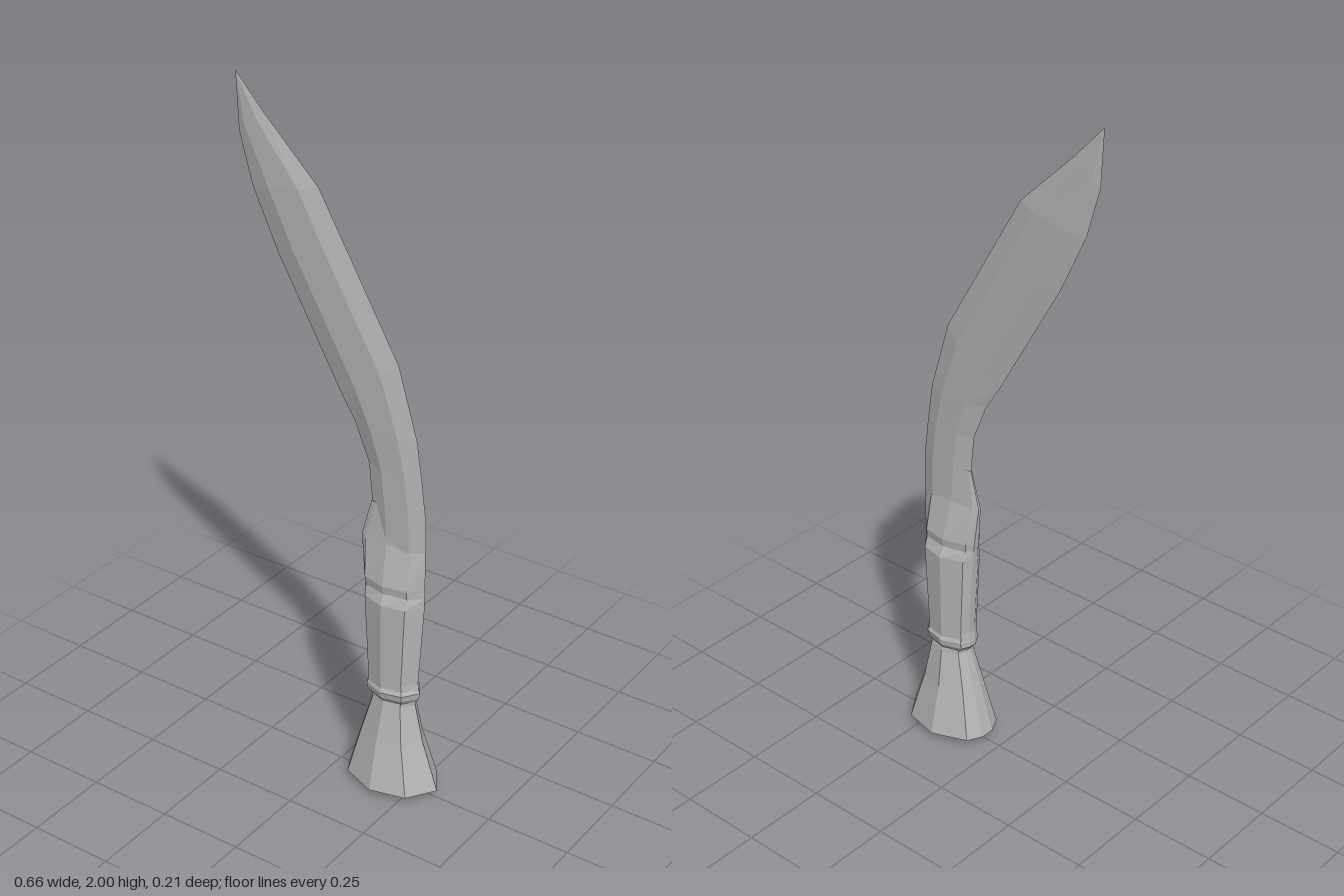
import * as THREE from 'three';

const steel = new THREE.MeshStandardMaterial({ color: 0xb4b4b4, flatShading: true });
steel.name = 'grey steel';

// Section outlines: u runs from left edge (0) to right edge (1), w scales the half thickness
const gripSection = [[1, 0], [0.81, 0.76], [0.44, 1], [0.08, 0.62], [0, 0.2], [0, -0.2], [0.08, -0.62], [0.44, -1], [0.81, -0.76]];
const bladeSection = [[1, 0], [0.74, 1], [0.3, 1], [0, 0], [0.3, -1], [0.74, -1]];

// Loft rings [leftX, leftY, rightX, rightY, halfThickness] upward, closed at both ends
function loft(name, section, rings) {
  const n = section.length;
  const pos = [];
  for (const [lx, ly, rx, ry, t] of rings) {
    for (const [u, w] of section) pos.push(lx + (rx - lx) * u, ly + (ry - ly) * u, w * t);
  }
  const index = [];
  for (let i = 0; i < rings.length - 1; i++) {
    for (let j = 0; j < n; j++) {
      const a = i * n + j, b = i * n + (j + 1) % n;
      index.push(a, a + n, b, b, a + n, b + n);
    }
  }
  const top = (rings.length - 1) * n;
  for (let j = 1; j < n - 1; j++) {
    index.push(0, j, j + 1);
    index.push(top, top + j + 1, top + j);
  }
  const indexed = new THREE.BufferGeometry();
  indexed.setAttribute('position', new THREE.Float32BufferAttribute(pos, 3));
  indexed.setIndex(index);
  const geometry = indexed.toNonIndexed();
  geometry.computeVertexNormals();
  const mesh = new THREE.Mesh(geometry, steel);
  mesh.name = name;
  return mesh;
}

// Level ring for the handle parts
const level = (y, left, right, t) => [left, y, right, y, t];

export function createModel() {
  const group = new THREE.Group();
  group.name = 'curvedKnife';

  // Forward-curving blade, thin at both edges
  group.add(loft('blade', bladeSection, [
    [0.12, 0.62, 0.26, 0.62, 0.017],
    [0.11, 0.8, 0.272, 0.78, 0.017],
    [0.1, 0.9, 0.272, 0.88, 0.017],
    [0.09, 1.0, 0.257, 1.0, 0.017],
    [0.045, 1.11, 0.24, 1.11, 0.018],
    [0.0, 1.18, 0.18, 1.31, 0.018],
    [-0.2, 1.53, 0.0, 1.62, 0.018],
    [-0.28, 1.7, -0.07, 1.74, 0.017],
    [-0.32, 1.84, -0.24, 1.905, 0.008],
    [-0.328, 2.0, -0.328, 2.0, 0],
  ]));

  // Grip with a shallow groove and a shoulder closing onto the blade
  group.add(loft('grip', gripSection, [
    level(0.33, 0.1, 0.262, 0.054),
    level(0.36, 0.103, 0.258, 0.055),
    level(0.61, 0.088, 0.274, 0.058),
    level(0.64, 0.086, 0.274, 0.044),
    level(0.665, 0.083, 0.274, 0.048),
    level(0.78, 0.071, 0.274, 0.019),
    level(0.89, 0.1, 0.272, 0.008),
  ]));

  // Raised collar between grip and pommel
  group.add(loft('collar', gripSection, [
    level(0.295, 0.112, 0.252, 0.046),
    level(0.31, 0.1, 0.262, 0.056),
    level(0.328, 0.1, 0.265, 0.06),
    level(0.345, 0.106, 0.256, 0.052),
  ]));

  // Flared pommel with a bevelled base
  group.add(loft('pommel', gripSection, [
    level(0, 0.11, 0.26, 0.06),
    level(0.022, 0.045, 0.328, 0.106),
    level(0.17, 0.085, 0.277, 0.072),
    level(0.285, 0.118, 0.25, 0.05),
    level(0.305, 0.112, 0.252, 0.046),
  ]));

  return group;
}
